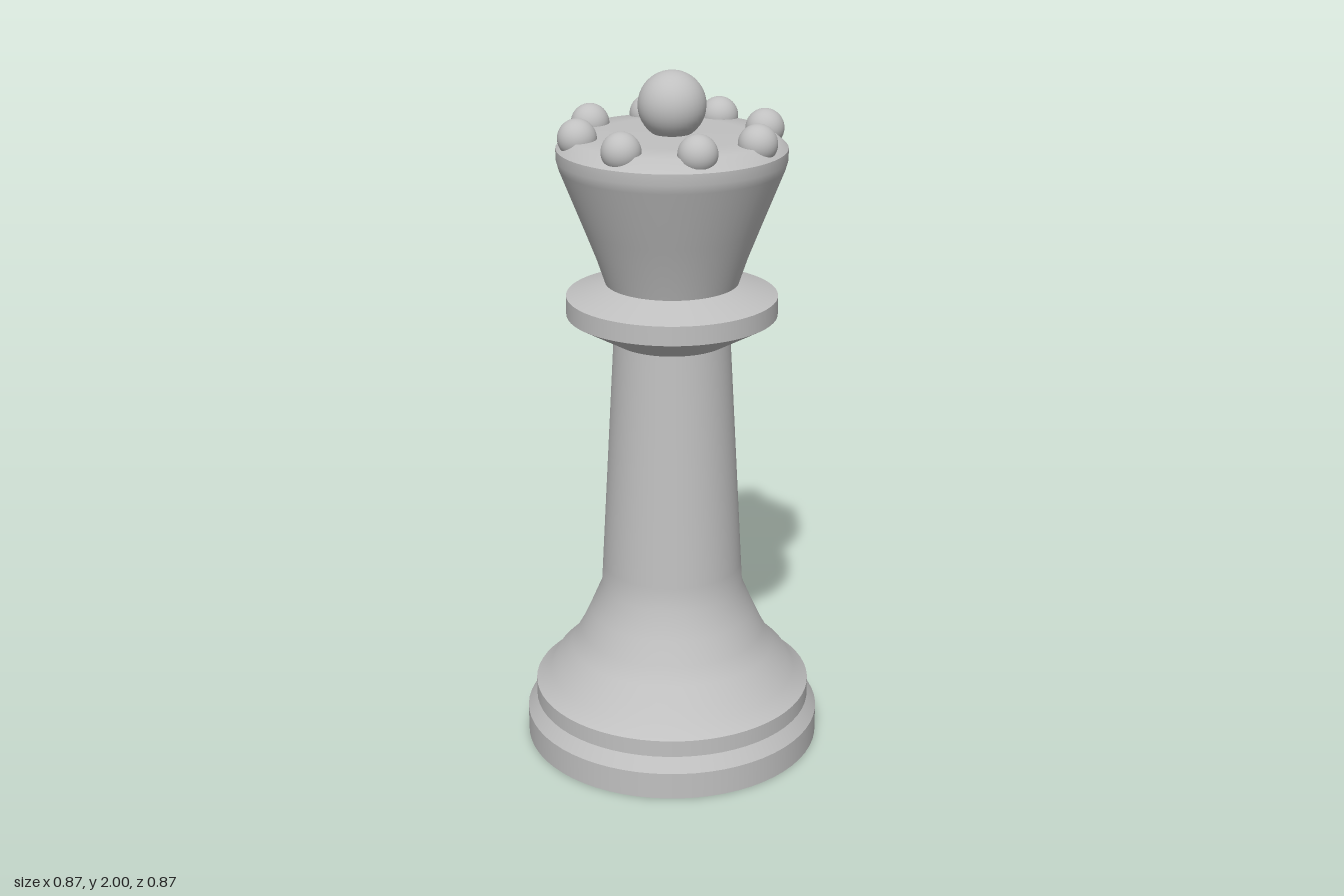
import * as THREE from 'three';

export function createModel() {
  const group = new THREE.Group();
  group.name = 'chessPiece';
  const gray = new THREE.MeshStandardMaterial({ color: 0xc0c0c0 });
  gray.name = 'plain gray';

  // Each turned part is a list of smooth runs; edges between runs stay sharp
  function turned(name, runs) {
    const part = new THREE.Group();
    part.name = name;
    for (const run of runs) {
      const points = run.map(([r, y]) => new THREE.Vector2(r, y));
      const mesh = new THREE.Mesh(new THREE.LatheGeometry(points, 64), gray);
      mesh.name = name + 'Surface';
      part.add(mesh);
    }
    group.add(part);
  }

  function ball(name, radius, x, y, z) {
    const mesh = new THREE.Mesh(new THREE.SphereGeometry(radius, 32, 20), gray);
    mesh.name = name;
    mesh.position.set(x, y, z);
    group.add(mesh);
  }

  // Stepped foot
  turned('base', [
    [[0, 0], [0.435, 0]],
    [[0.435, 0], [0.435, 0.08]],
    [[0.435, 0.08], [0.408, 0.12]],
    [[0.408, 0.12], [0.408, 0.17]],
  ]);

  // Flared skirt running into the tapering stem
  turned('stem', [
    [[0.408, 0.17], [0.365, 0.205], [0.345, 0.24], [0.3, 0.285], [0.272, 0.335],
      [0.242, 0.4], [0.208, 0.48], [0.204, 0.55], [0.166, 1.24]],
  ]);

  // Collar
  turned('collar', [
    [[0.166, 1.24], [0.298, 1.315]],
    [[0.298, 1.315], [0.298, 1.37]],
    [[0.298, 1.37], [0.187, 1.408]],
  ]);

  // Flared crown with a shallow top
  turned('crown', [
    [[0.187, 1.405], [0.212, 1.48], [0.245, 1.565], [0.312, 1.735], [0.319, 1.76], [0.319, 1.79]],
    [[0.319, 1.79], [0.285, 1.823], [0.2, 1.828], [0, 1.83]],
  ]);

  // Finial and the ring of eight beads
  ball('finial', 0.094, 0, 1.906, 0);
  for (let i = 0; i < 8; i++) {
    const a = (i * Math.PI) / 4;
    ball('bead' + (i + 1), 0.054, 0.265 * Math.cos(a), 1.828, 0.265 * Math.sin(a));
  }

  return group;
}
